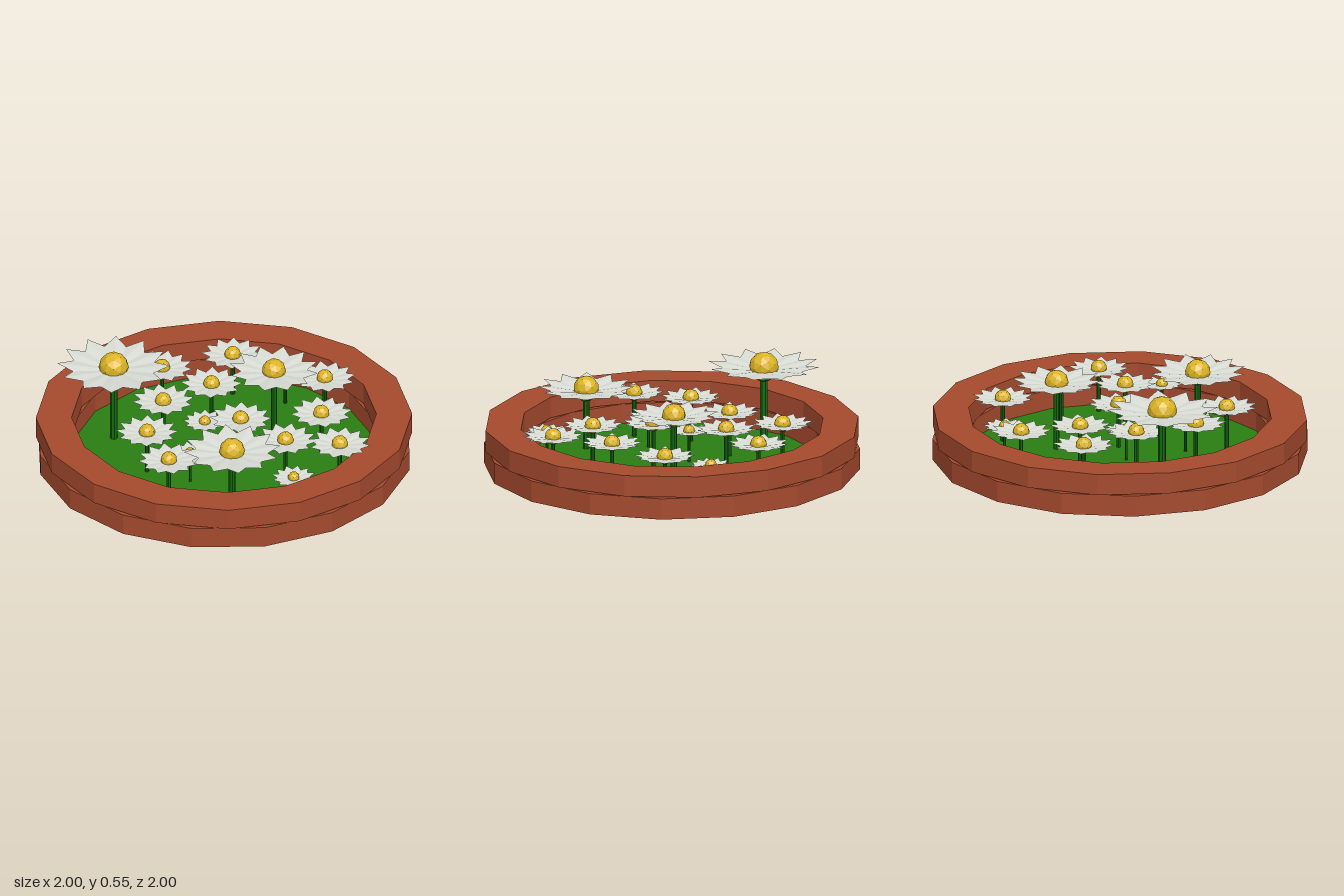
import * as THREE from 'three';

const mat = (color, side = THREE.FrontSide) =>
  new THREE.MeshStandardMaterial({ color, side, flatShading: true });
const brick = mat(0xa54a2e);
const grass = mat(0x2a7d12);
const stemGreen = mat(0x14690f);
const white = mat(0xd8dcd4, THREE.DoubleSide);
const yellow = mat(0xdcb422);

function add(parent, name, geometry, material, x = 0, y = 0, z = 0) {
  const mesh = new THREE.Mesh(geometry, material);
  mesh.name = name;
  mesh.position.set(x, y, z);
  parent.add(mesh);
  return mesh;
}

// 16-sided ring with a rectangular section
function ringGeometry(bottom, top, turn) {
  const inner = 0.81, outer = 1;
  const profile = [[inner, bottom], [outer, bottom], [outer, top], [inner, top], [inner, bottom]]
    .map(([r, y]) => new THREE.Vector2(r, y));
  return new THREE.LatheGeometry(profile, 16, turn);
}

// Shallow pleated star of unit radius; each petal has a raised midrib
function petalGeometry(count = 12) {
  const positions = [];
  const point = (r, y, step) => {
    const a = step * Math.PI / count;
    return [r * Math.sin(a), y, r * Math.cos(a)];
  };
  for (let i = 0; i < count; i++) {
    const s = 2 * i;
    const centre = [0, -0.08, 0];
    const rib = point(0.6, 0.0, s);
    const tip = point(1, 0.04, s);
    const before = point(0.74, -0.01, s - 1);
    const after = point(0.74, -0.01, s + 1);
    positions.push(...centre, ...before, ...rib, ...before, ...tip, ...rib);
    positions.push(...centre, ...rib, ...after, ...rib, ...tip, ...after);
  }
  const g = new THREE.BufferGeometry();
  g.setAttribute('position', new THREE.Float32BufferAttribute(positions, 3));
  g.computeVertexNormals();
  return g;
}

const petals = petalGeometry();
const heart = new THREE.IcosahedronGeometry(0.265, 1);
const calyx = new THREE.SphereGeometry(0.225, 10, 6);

// Flower: position, petal radius, height of the heart, foot of the stem
function makeFlower(x, z, radius, height, foot, turn) {
  const flower = new THREE.Group();
  flower.name = 'flower';
  flower.position.set(x, 0, z);
  flower.rotation.y = turn;
  const length = height - foot;
  add(flower, 'stem', new THREE.CylinderGeometry(0.07 * radius, 0.07 * radius, length, 8),
    stemGreen, 0, foot + length / 2, 0);
  add(flower, 'calyx', calyx, stemGreen, 0, height - 0.05 * radius, 0).scale.setScalar(radius);
  add(flower, 'petals', petals, white, 0, height, 0).scale.setScalar(radius);
  add(flower, 'flowerHeart', heart, yellow, 0, height, 0).scale.setScalar(radius);
  return flower;
}

export function createModel() {
  const model = new THREE.Group();
  model.name = 'flowerBed';

  // Two stacked rings, turned half a side against each other
  add(model, 'lowerRing', ringGeometry(0.03, 0.145, 0), brick);
  add(model, 'upperRing', ringGeometry(0.15, 0.265, Math.PI / 16), brick);

  // Floor of the bed
  add(model, 'grassFloor', new THREE.CylinderGeometry(0.815, 0.815, 0.006, 32), grass, 0, 0.035, 0);

  // Tall flowers
  const flowers = [
    [-0.58, 0.18, 0.3, 0.475, 0.032],
    [0.33, 0.44, 0.26, 0.37, 0],
    [0.105, -0.33, 0.24, 0.415, 0.032],
  ];
  // Medium flowers
  const medium = [
    [-0.295, -0.55], [0.25, -0.605], [-0.54, -0.235], [-0.225, -0.23], [0.435, -0.28], [0.69, -0.06],
    [0.105, 0], [-0.345, 0.06], [0.425, 0.06], [-0.24, 0.385], [0.015, 0.57],
  ];
  for (const [x, z] of medium) flowers.push([x, z, 0.167, 0.28, 0.032]);
  // Small flowers
  const small = [[-0.005, -0.615], [-0.105, 0.025], [0.01, 0.35], [0.61, 0.27]];
  for (const [x, z] of small) flowers.push([x, z, 0.118, 0.21, 0.015]);

  flowers.forEach((f, i) => model.add(makeFlower(...f, i * 0.7)));
  return model;
}
